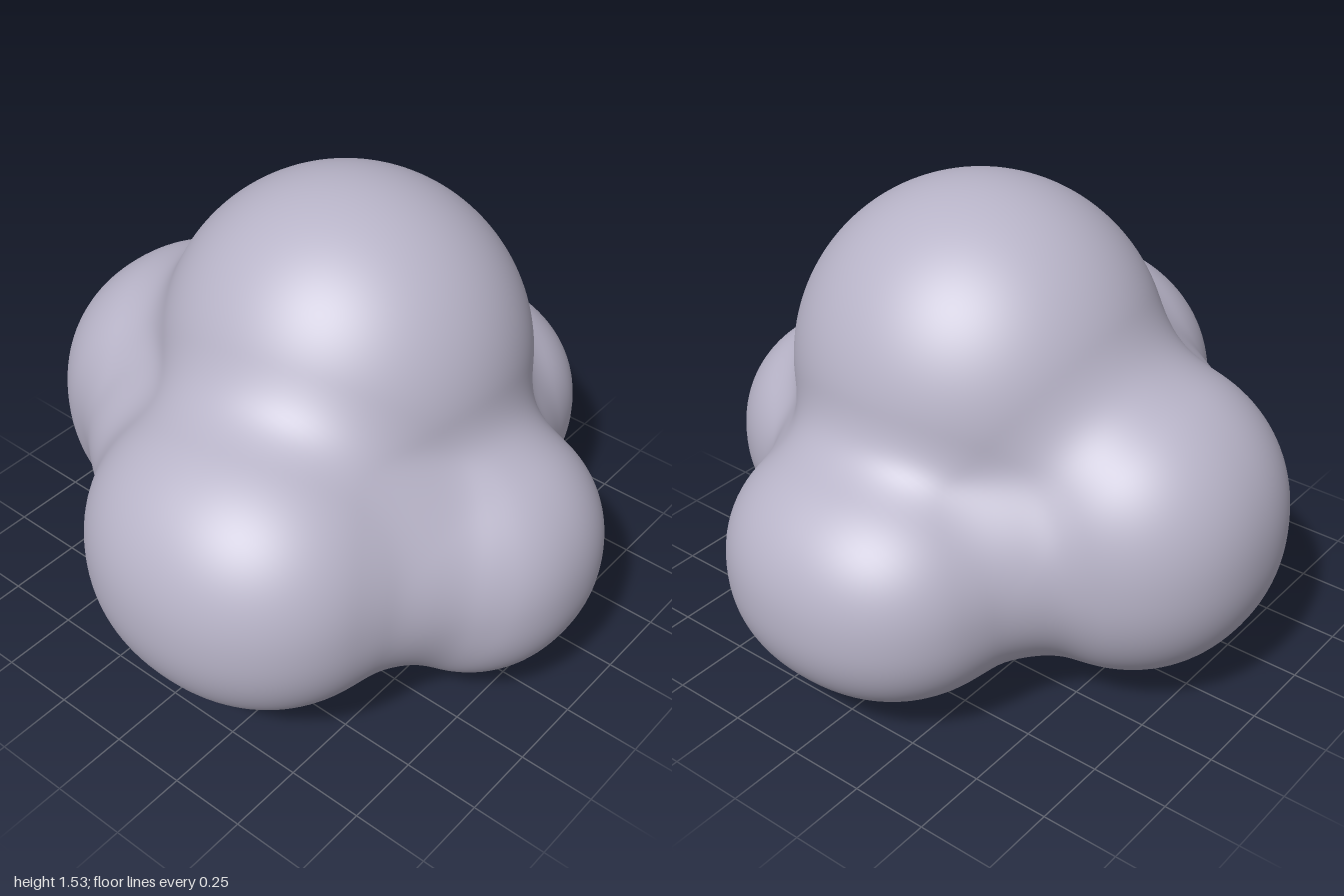
import * as THREE from 'three';
import { mergeVertices } from 'three/addons/utils/BufferGeometryUtils.js';

// Lobes of the blob: centre x, y, z, radii x, y, z and roundness (2 is an ellipsoid, more is squarer)
const lobes = [
  [0.04, 0.94, -0.05, 0.585, 0.585, 0.58, 2], // crown
  [-0.48, 0.56, 0.01, 0.5, 0.49, 0.48, 2.15], // right lobe
  [0.56, 0.48, -0.01, 0.42, 0.4, 0.42, 2.15], // left lobe
  [0.16, 0.59, 0.5, 0.53, 0.47, 0.5, 2.15], // front lobe
  [0.02, 0.465, -0.53, 0.49, 0.4, 0.47, 2.2], // back lobe
  [-0.33, 0.62, 0.38, 0.24, 0.25, 0.24, 2], // fillets between neighbouring lobes
  [0.5, 0.58, 0.3, 0.25, 0.25, 0.25, 2],
  [0.32, 0.48, -0.36, 0.23, 0.25, 0.23, 2],
  [-0.31, 0.52, -0.35, 0.24, 0.25, 0.24, 2],
  [0.04, 0.36, -0.08, 0.54, 0.28, 0.43, 2.2], // underside
  [0.02, 0.15, -0.08, 0.24, 0.14, 0.22, 2], // underside bump
];
const BLEND = 0.16;

// Approximate distance to a squared-off ellipsoid
function lobeDistance(p, [cx, cy, cz, rx, ry, rz, n]) {
  const x = Math.abs(p.x - cx) / rx, y = Math.abs(p.y - cy) / ry, z = Math.abs(p.z - cz) / rz;
  const k = Math.max((x ** n + y ** n + z ** n) ** (1 / n), 1e-4);
  const slope = Math.hypot((x / k) ** (n - 1) / rx, (y / k) ** (n - 1) / ry, (z / k) ** (n - 1) / rz);
  return (k - 1) / Math.max(slope, 1e-3);
}

// Softly blended union of all lobes
function field(p) {
  let d = Infinity;
  for (const lobe of lobes) {
    const e = lobeDistance(p, lobe);
    const h = Math.max(BLEND - Math.abs(d - e), 0) / BLEND;
    d = Math.min(d, e) - (h * h * BLEND) / 4;
  }
  return d;
}

// Push every vertex of a fine sphere out to the blended surface
function blobGeometry() {
  const ball = new THREE.IcosahedronGeometry(1, 40);
  ball.deleteAttribute('uv');
  ball.deleteAttribute('normal');
  const geometry = mergeVertices(ball, 1e-4);
  const pos = geometry.attributes.position;
  const centre = new THREE.Vector3(0.03, 0.55, 0);
  const dir = new THREE.Vector3(), p = new THREE.Vector3();
  const at = (t) => field(p.copy(centre).addScaledVector(dir, t));
  for (let i = 0; i < pos.count; i++) {
    dir.fromBufferAttribute(pos, i).normalize();
    let hi = 1.4;
    while (hi > 0.1 && at(hi - 0.03) > 0) hi -= 0.03;
    let lo = hi - 0.03;
    for (let n = 0; n < 14; n++) {
      const mid = (lo + hi) / 2;
      if (at(mid) > 0) hi = mid; else lo = mid;
    }
    at(hi);
    pos.setXYZ(i, p.x, p.y, p.z);
  }
  geometry.computeVertexNormals();
  return geometry;
}

export function createModel() {
  const group = new THREE.Group();
  group.name = 'lobedBlob';
  const lilacGrey = new THREE.MeshStandardMaterial({ color: 0xb8b4c8 });
  lilacGrey.name = 'lilac grey';
  const body = new THREE.Mesh(blobGeometry(), lilacGrey);
  body.name = 'blobBody';
  group.add(body);
  return group;
}
